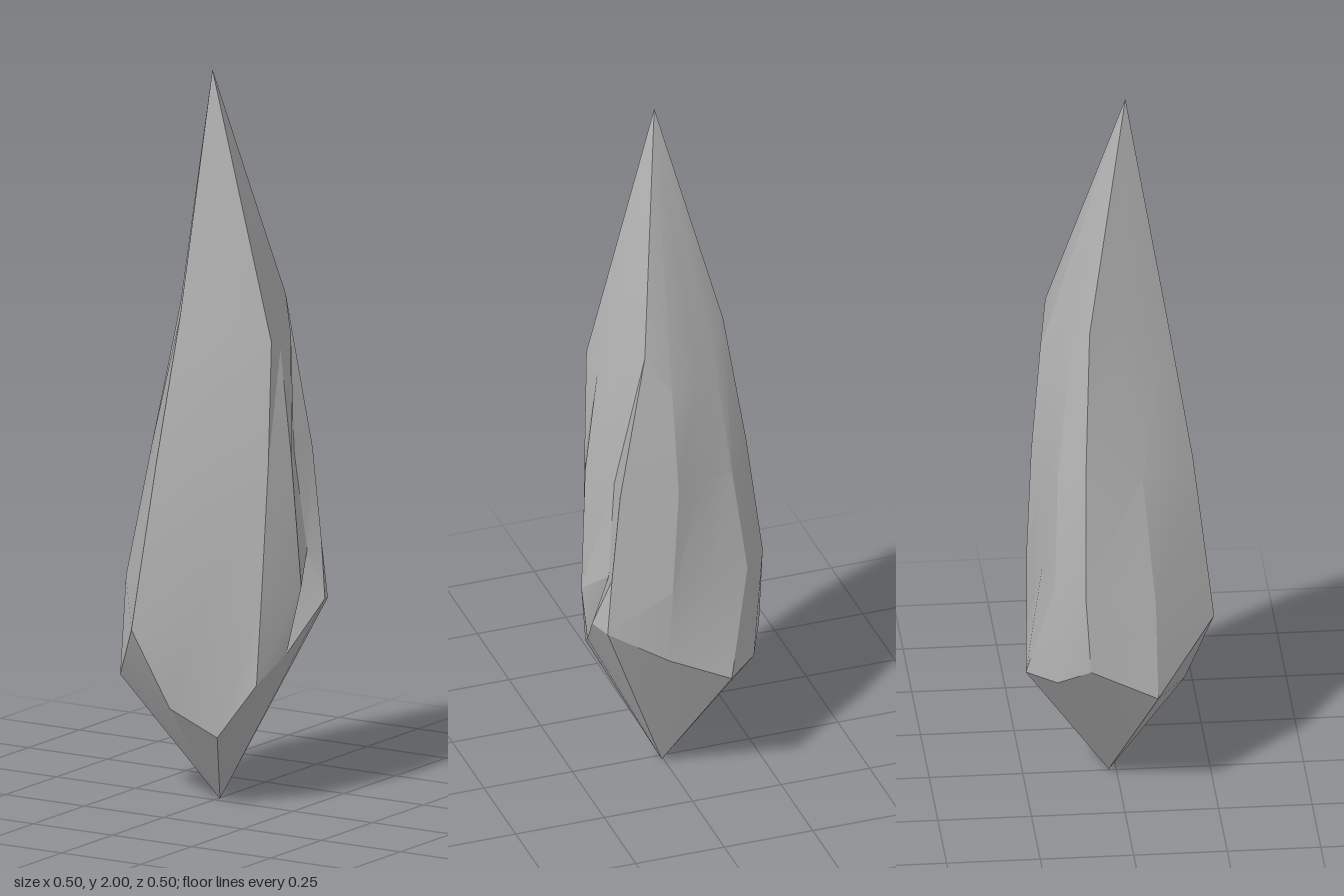
import * as THREE from 'three';
import { toCreasedNormals } from 'three/addons/utils/BufferGeometryUtils.js';

// Ridges and hollows of the shard, counterclockwise seen from above;
// each runs from shoulder to base as four [x, y, z] points.
const ridges = [
  [[-0.02, 1.35, 0.135], [-0.055, 0.95, 0.2], [-0.1, 0.5, 0.252], [-0.025, 0.28, 0.18]],   // front ridge
  [[0.09, 1.31, 0.085], [0.07, 0.95, 0.125], [0.05, 0.52, 0.163], [0.08, 0.2, 0.11]],      // front facet
  [[0.2, 1.28, 0.03], [0.2, 0.95, 0.045], [0.195, 0.6, 0.07], [0.185, 0.35, 0.08]],        // side ridge
  [[0.19, 1.25, -0.03], [0.225, 0.95, -0.03], [0.243, 0.6, -0.05], [0.215, 0.42, -0.02]],  // side facet
  [[0.165, 1.27, -0.12], [0.175, 0.95, -0.12], [0.2, 0.68, -0.145], [0.25, 0.55, -0.155]], // side hollow
  [[0.11, 1.36, -0.18], [0.185, 0.95, -0.195], [0.21, 0.7, -0.2], [0.225, 0.54, -0.208]],  // back corner
  [[0.04, 1.25, -0.2], [0.03, 0.95, -0.225], [0.05, 0.65, -0.235], [0.06, 0.44, -0.235]],  // back facet
  [[-0.05, 1.25, -0.165], [-0.05, 0.95, -0.19], [-0.07, 0.65, -0.205], [-0.11, 0.36, -0.252]], // back hollow
  [[-0.1, 1.32, -0.13], [-0.14, 0.95, -0.17], [-0.18, 0.65, -0.18], [-0.2, 0.37, -0.175]], // back left facet
  [[-0.145, 1.38, -0.085], [-0.205, 1.0, -0.1], [-0.25, 0.65, -0.105], [-0.245, 0.42, -0.09]], // left ridge
  [[-0.1, 1.35, 0.01], [-0.165, 0.95, 0.055], [-0.225, 0.6, 0.085], [-0.24, 0.33, 0.09]],  // left facet
];
const tip = [0.01, 2, 0.025];
const foot = [0.005, 0, -0.02];

function shardGeometry() {
  const positions = [];
  const triangle = (a, b, c) => positions.push(...a, ...b, ...c);
  ridges.forEach((ridge, i) => {
    const next = ridges[(i + 1) % ridges.length];
    triangle(ridge[0], next[0], tip);
    for (let row = 0; row < ridge.length - 1; row++) {
      triangle(ridge[row + 1], next[row + 1], next[row]);
      triangle(ridge[row + 1], next[row], ridge[row]);
    }
    triangle(foot, next[3], ridge[3]);
  });
  const geometry = new THREE.BufferGeometry();
  geometry.setAttribute('position', new THREE.Float32BufferAttribute(positions, 3));
  return toCreasedNormals(geometry, 0.42);
}

export function createModel() {
  const stone = new THREE.MeshStandardMaterial({ color: 0xb4b4b4 });
  stone.name = 'grey stone';
  const shard = new THREE.Mesh(shardGeometry(), stone);
  shard.name = 'crystalShard';
  const group = new THREE.Group();
  group.name = 'crystal';
  group.add(shard);
  return group;
}
